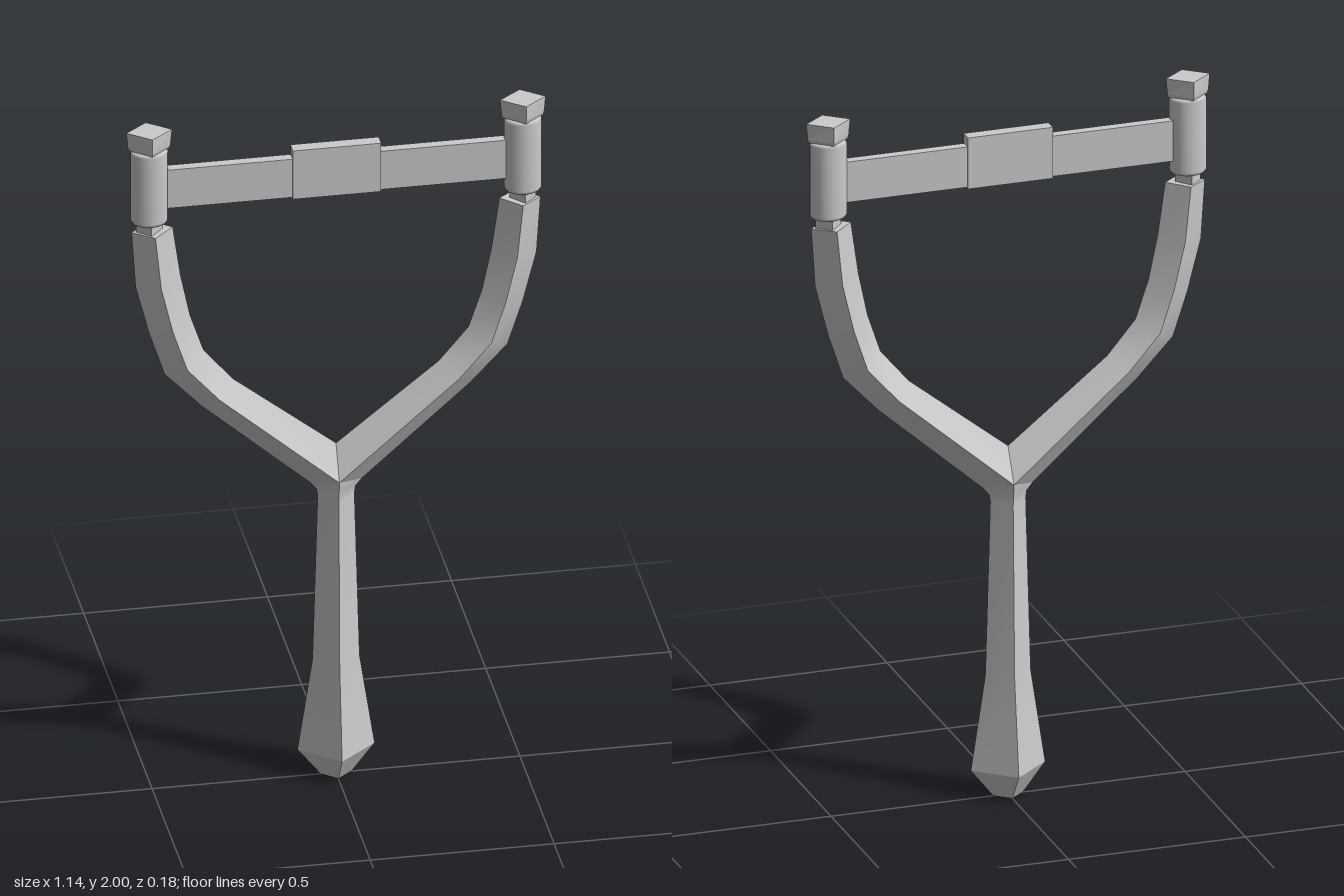
import * as THREE from 'three';

const grey = new THREE.MeshStandardMaterial({ color: 0xcccccc });
const greyFlat = new THREE.MeshStandardMaterial({ color: 0xcccccc, flatShading: true });

// Skins four-cornered rings: smooth along the length, sharp along the four edges.
function loft(rings, capStart, capEnd) {
  const pos = [], index = [];
  for (let k = 0; k < 4; k++) {
    const base = pos.length / 3;
    rings.forEach((r) => pos.push(...r[k], ...r[(k + 1) % 4]));
    for (let i = 0; i < rings.length - 1; i++) {
      const a = base + i * 2;
      index.push(a, a + 1, a + 3, a, a + 3, a + 2);
    }
  }
  const cap = (ring, flip) => {
    const b = pos.length / 3;
    ring.forEach((p) => pos.push(...p));
    index.push(...(flip ? [b, b + 2, b + 1, b, b + 3, b + 2] : [b, b + 1, b + 2, b, b + 2, b + 3]));
  };
  if (capStart) cap(rings[0], true);
  if (capEnd) cap(rings[rings.length - 1], false);
  const g = new THREE.BufferGeometry();
  g.setAttribute('position', new THREE.Float32BufferAttribute(pos, 3));
  g.setIndex(index);
  g.computeVertexNormals();
  return g;
}

// Horizontal diamond ring
const diamond = (cx, y, rx, rz) => [[cx + rx, y, 0], [cx, y, -rz], [cx - rx, y, 0], [cx, y, rz]];

function add(parent, name, geometry, material = grey) {
  const mesh = new THREE.Mesh(geometry, material);
  mesh.name = name;
  parent.add(mesh);
  return mesh;
}

function box(parent, name, w, y0, y1, z0, z1) {
  const g = new THREE.BoxGeometry(w, y1 - y0, z1 - z0);
  g.translate(0, (y0 + y1) / 2, (z0 + z1) / 2);
  return add(parent, name, g);
}

function createProng(name) {
  const prong = new THREE.Group();
  prong.name = name;
  const ridgeZ = 0.05, cx = 0.508;

  // Curved arm stations: outer x, y, ridge x, y, inner x, y
  const stations = [
    [0.07, 0.888, 0, 0.907, 0, 1.002],
    [0.365, 1.15, 0.325, 1.19, 0.28, 1.225],
    [0.466, 1.257, 0.413, 1.29, 0.36, 1.32],
    [0.508, 1.385, 0.452, 1.408, 0.397, 1.43],
    [0.545, 1.53, 0.484, 1.543, 0.423, 1.555],
    [0.556, 1.697, 0.5, 1.7, 0.444, 1.703],
  ];
  const rings = stations.map(([ox, oy, rx, ry, ix, iy]) =>
    [[ox, oy, 0], [rx, ry, -ridgeZ], [ix, iy, 0], [rx, ry, ridgeZ]]);
  add(prong, 'arm', loft(rings, false, true));

  // Neck rising from the arm, with a wider cap block
  add(prong, 'neck', loft([diamond(cx, 1.69, 0.036, 0.036), diamond(cx, 1.96, 0.036, 0.036)], true, true), greyFlat);
  add(prong, 'tipCap', loft([diamond(cx, 1.945, 0.055, 0.046), diamond(cx, 1.955, 0.058, 0.05),
    diamond(cx, 2, 0.062, 0.05)], true, true), greyFlat);

  // Band loop wrapped around the neck
  const profile = [[0.03, 1.728], [0.047, 1.728], [0.051, 1.737], [0.051, 1.938], [0.047, 1.946], [0.03, 1.946]]
    .map(([x, y]) => new THREE.Vector2(x, y));
  const sleeve = new THREE.LatheGeometry(profile, 16);
  sleeve.scale(1, 1, 0.88);
  sleeve.translate(cx, 0, 0);
  add(prong, 'bandLoop', sleeve);
  return prong;
}

export function createModel() {
  const model = new THREE.Group();
  model.name = 'slingshot';

  // Handle, flaring at the pommel and meeting the fork at the top
  add(model, 'handle', loft([
    diamond(0, 0.08, 0.105, 0.09),
    diamond(0, 0.35, 0.064, 0.055),
    diamond(0, 0.845, 0.05, 0.043),
    [[0.053, 0.867, 0], [0, 0.875, -0.047], [-0.053, 0.867, 0], [0, 0.875, 0.047]],
    [[0.07, 0.888, 0], [0, 0.907, -0.05], [-0.07, 0.888, 0], [0, 0.907, 0.05]],
  ], false, false));
  add(model, 'pommel', loft([diamond(0, 0, 0.042, 0.036), diamond(0, 0.08, 0.105, 0.09)], true, false), greyFlat);

  // Two matching fork prongs
  model.add(createProng('leftProng'));
  const right = createProng('rightProng');
  right.rotation.y = Math.PI;
  model.add(right);

  // Elastic band and its pouch
  box(model, 'band', 0.96, 1.767, 1.883, -0.016, 0.012);
  box(model, 'pouch', 0.24, 1.763, 1.91, -0.02, 0.016);
  return model;
}
